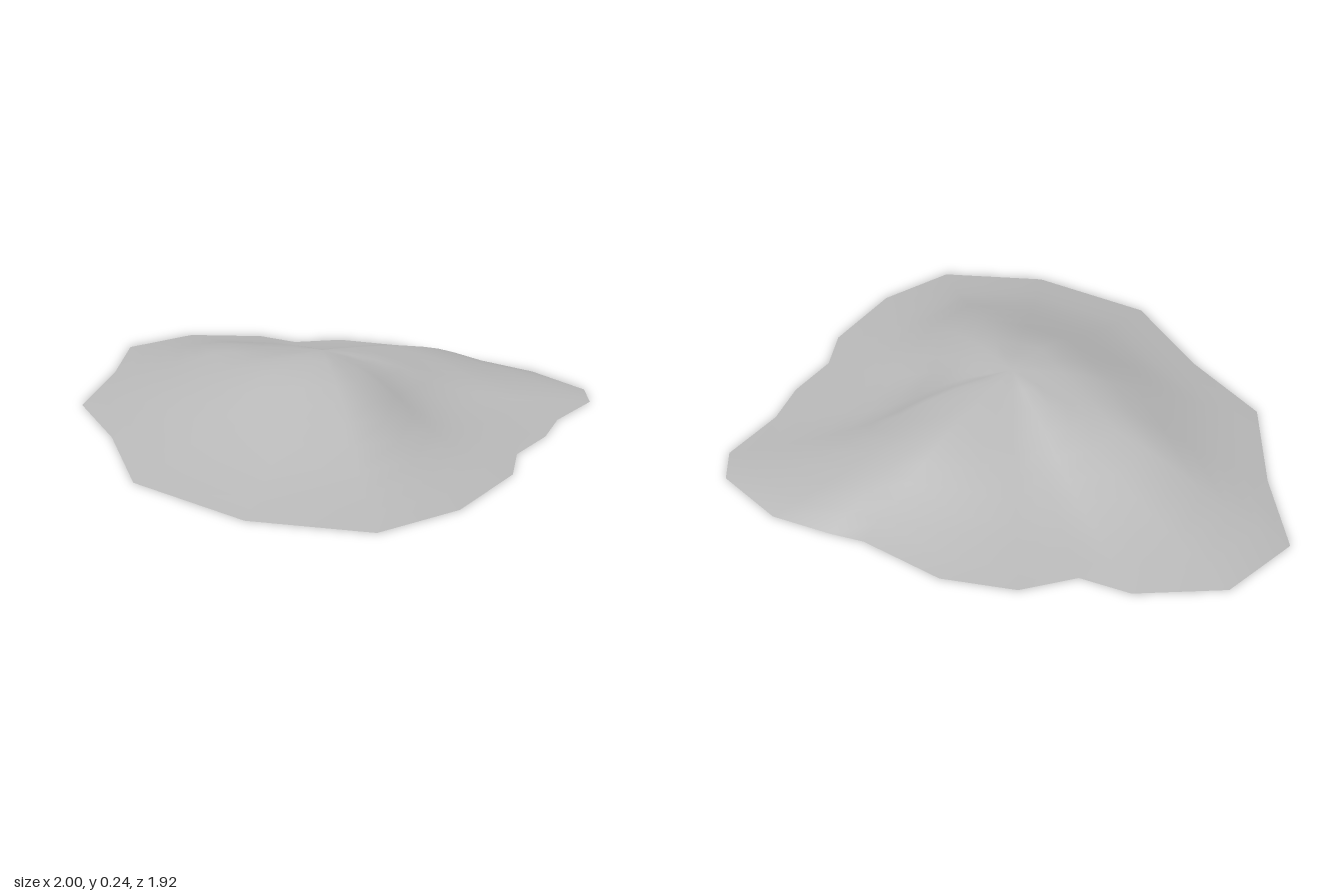
import * as THREE from 'three';

// Each spoke: rim x, rim z, then heights at 1/4, 1/2 and 3/4 of the way from summit to rim
const spokes = [
  [-1, -0.73, 0.19, 0.145, 0.06], [-0.77, -0.94, 0.19, 0.12, 0.05],
  [-0.45, -0.965, 0.18, 0.1, 0.04], [-0.28, -0.9, 0.175, 0.095, 0.035],
  [-0.08, -0.96, 0.175, 0.095, 0.035], [0.18, -0.915, 0.185, 0.12, 0.045],
  [0.45, -0.75, 0.21, 0.165, 0.08], [0.57, -0.715, 0.21, 0.17, 0.105],
  [0.78, -0.635, 0.2, 0.14, 0.06], [0.985, -0.44, 0.19, 0.09, 0.03],
  [1, -0.3, 0.18, 0.065, 0.015], [0.865, -0.085, 0.18, 0.065, 0.015],
  [0.815, 0.09, 0.19, 0.07, 0.02], [0.71, 0.27, 0.195, 0.08, 0.025],
  [0.695, 0.45, 0.2, 0.1, 0.03], [0.525, 0.755, 0.21, 0.13, 0.035],
  [0.275, 0.955, 0.22, 0.155, 0.05], [-0.15, 0.925, 0.21, 0.125, 0.05],
  [-0.58, 0.69, 0.22, 0.13, 0.05], [-0.77, 0.31, 0.22, 0.14, 0.05],
  [-0.985, 0, 0.21, 0.13, 0.05], [-0.97, -0.4, 0.2, 0.155, 0.06],
];
const summit = new THREE.Vector3(-0.04, 0.243, -0.08);
const rings = 10;

function hillGeometry() {
  const positions = [...summit.toArray()];
  const index = [];
  const n = spokes.length;

  // Smooth slope line down every spoke
  for (const [x, z, ...heights] of spokes) {
    const points = [summit.y, ...heights, 0].map((y, i) => new THREE.Vector3(
      THREE.MathUtils.lerp(summit.x, x, i / 4), y, THREE.MathUtils.lerp(summit.z, z, i / 4)));
    const curve = new THREE.CatmullRomCurve3(points);
    for (let r = 1; r <= rings; r++) {
      const p = curve.getPoint(r / rings);
      positions.push(p.x, Math.max(p.y, 0), p.z);
    }
  }

  // Join neighbouring spokes, with a fan at the summit
  const at = (s, r) => (r === 0 ? 0 : 1 + (s % n) * rings + r - 1);
  for (let s = 0; s < n; s++) {
    for (let r = 0; r < rings; r++) {
      index.push(at(s, r), at(s + 1, r + 1), at(s, r + 1));
      if (r > 0) index.push(at(s, r), at(s + 1, r), at(s + 1, r + 1));
    }
  }

  const geometry = new THREE.BufferGeometry();
  geometry.setAttribute('position', new THREE.Float32BufferAttribute(positions, 3));
  geometry.setIndex(index);
  // Spokes run clockwise seen from above, so flip the corners to face up
  for (let i = 0; i < index.length; i += 3) {
    geometry.index.setX(i + 1, index[i + 2]);
    geometry.index.setX(i + 2, index[i + 1]);
  }
  geometry.computeVertexNormals();
  if (geometry.attributes.normal.getY(0) < 0) {
    geometry.setIndex(index);
    geometry.computeVertexNormals();
  }
  return geometry;
}

export function createModel() {
  const model = new THREE.Group();
  model.name = 'hill';
  const stone = new THREE.MeshStandardMaterial({ color: 0xb8b8b8, side: THREE.DoubleSide });
  stone.name = 'stone grey';

  // Open shell of the hillside
  const hillside = new THREE.Mesh(hillGeometry(), stone);
  hillside.name = 'hillside';
  model.add(hillside);
  return model;
}
